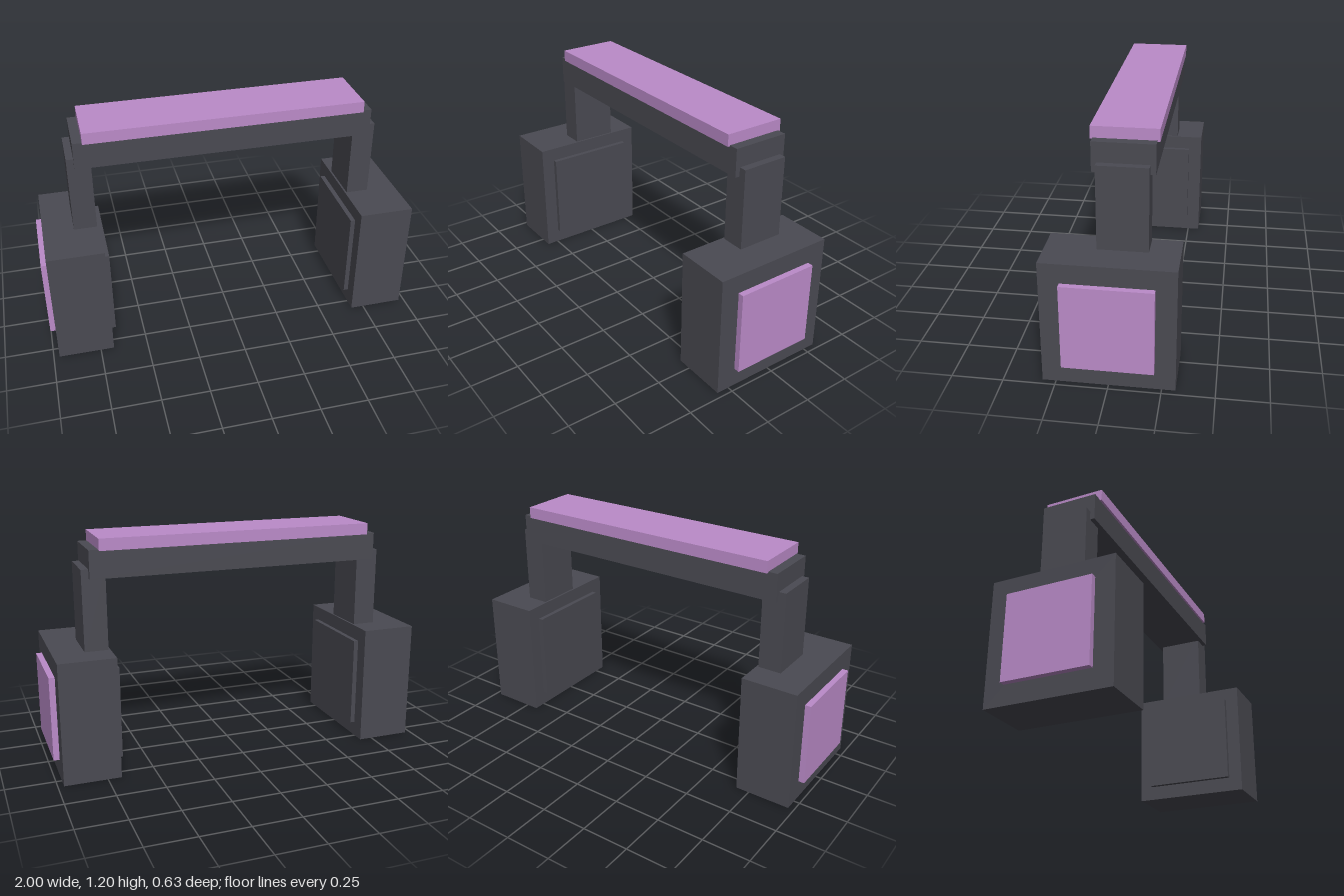
import * as THREE from 'three';

export function createModel() {
  const model = new THREE.Group();
  model.name = 'headphones';

  const charcoal = new THREE.MeshStandardMaterial({ color: 0x4a4a52 });
  charcoal.name = 'charcoal';
  const lilac = new THREE.MeshStandardMaterial({ color: 0xbb8bc9 });
  lilac.name = 'lilac';

  // Box given by its extents along each axis
  function box(parent, name, material, [x0, x1], [y0, y1], [z0, z1]) {
    const mesh = new THREE.Mesh(new THREE.BoxGeometry(x1 - x0, y1 - y0, z1 - z0), material);
    mesh.position.set((x0 + x1) / 2, (y0 + y1) / 2, (z0 + z1) / 2);
    mesh.name = name;
    parent.add(mesh);
  }

  // Headband and the cushion on top of it
  box(model, 'headband', charcoal, [-0.773, 0.773], [0.997, 1.14], [-0.193, 0.097]);
  box(model, 'headbandCushion', lilac, [-0.725, 0.725], [1.135, 1.195], [-0.205, 0.108]);

  // One ear assembly per side; the right one is the left turned round
  for (const side of [1, -1]) {
    const ear = new THREE.Group();
    ear.name = side > 0 ? 'leftEar' : 'rightEar';
    const span = (a, b) => (side > 0 ? [a, b] : [-b, -a]);
    box(ear, 'arm', charcoal, span(0.69, 0.81), [0.6, 1.043], [-0.168, 0.073]);
    box(ear, 'earCup', charcoal, span(0.68, 0.97), [0, 0.63], [-0.315, 0.315]);
    box(ear, 'earPad', charcoal, span(0.655, 0.69), [0.078, 0.555], [-0.242, 0.242]);
    box(ear, 'outerPanel', lilac, span(0.96, 1), [0.1, 0.533], [-0.217, 0.217]);
    model.add(ear);
  }
  return model;
}
